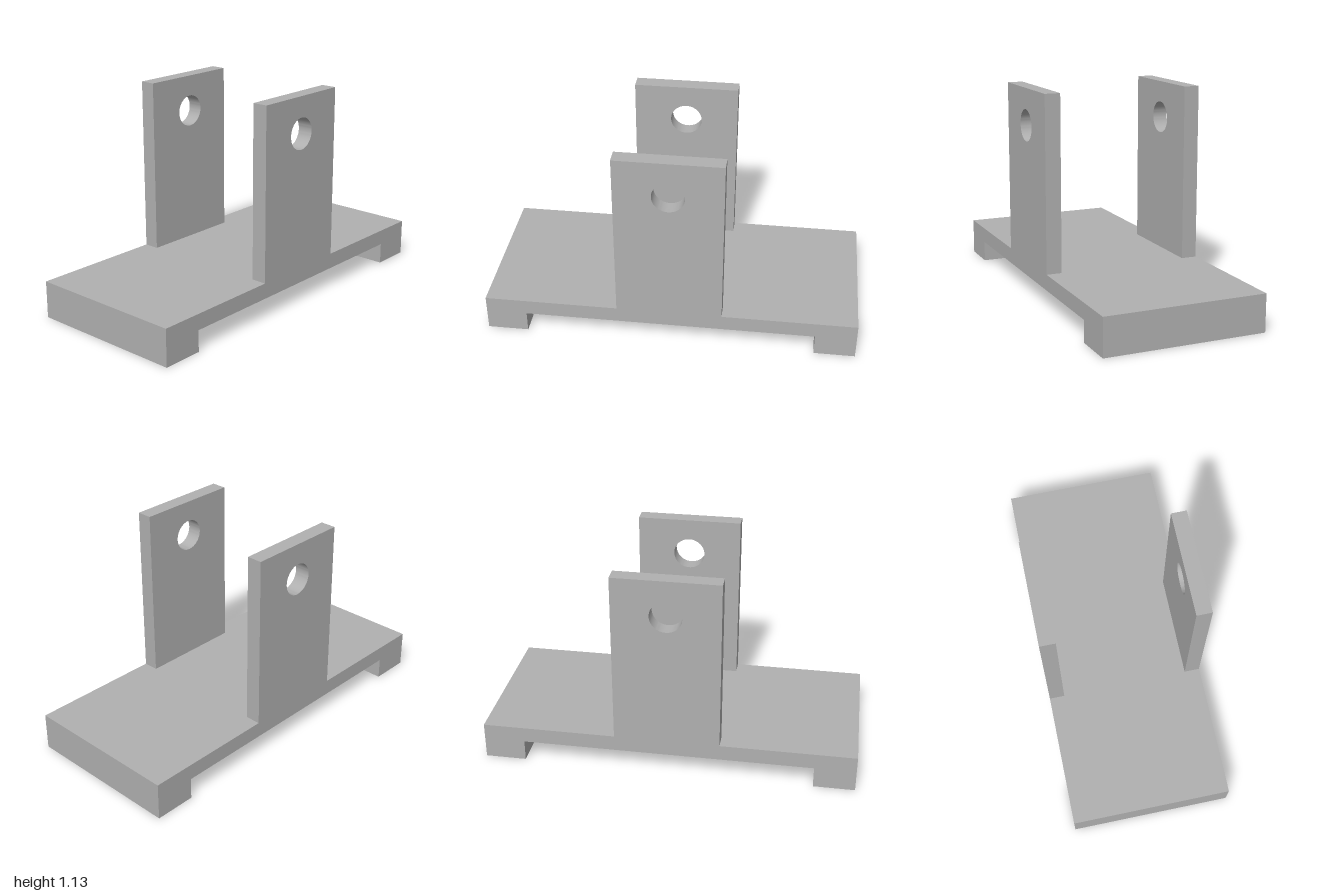
import * as THREE from 'three';
import { toCreasedNormals } from 'three/addons/utils/BufferGeometryUtils.js';

const HALF_W = 0.433;      // half width of the base
const TOP = 0.2;           // top of the base
const UNDER = 0.115;       // underside between the feet
const POCKET_TOP = 0.171;  // ceiling of the blind pocket

// Rectangular plate with one round hole, extruded along +z
function holedPlate(x0, y0, x1, y1, hx, hy, r, depth) {
  const shape = new THREE.Shape();
  shape.moveTo(x0, y0);
  shape.lineTo(x1, y0);
  shape.lineTo(x1, y1);
  shape.lineTo(x0, y1);
  shape.closePath();
  const hole = new THREE.Path();
  hole.absarc(hx, hy, r, 0, Math.PI * 2, true);
  shape.holes.push(hole);
  return new THREE.ExtrudeGeometry(shape, { depth, bevelEnabled: false, curveSegments: 32 });
}

export function createModel() {
  const model = new THREE.Group();
  model.name = 'clevisBracket';
  const grey = new THREE.MeshStandardMaterial({ color: 0xb0b0b0 });
  grey.name = 'grey';

  const add = (name, geometry, x = 0, y = 0, z = 0) => {
    const mesh = new THREE.Mesh(geometry, grey);
    mesh.name = name;
    mesh.position.set(x, y, z);
    model.add(mesh);
  };

  // Base: solid upper layer, and a lower layer holding the round blind pocket
  const upper = TOP - POCKET_TOP;
  add('basePlate', new THREE.BoxGeometry(HALF_W * 2, upper, 2), 0, POCKET_TOP + upper / 2, 0);
  const lower = holedPlate(-HALF_W, -1, HALF_W, 1, 0, 0.505, 0.118, POCKET_TOP - UNDER);
  lower.rotateX(-Math.PI / 2);
  add('pocketLayer', toCreasedNormals(lower, 0.5), 0, UNDER, 0);

  // Feet across both ends
  for (const s of [1, -1]) {
    add(s > 0 ? 'frontFoot' : 'backFoot',
      new THREE.BoxGeometry(HALF_W * 2, UNDER, 0.22), 0, UNDER / 2, s * 0.89);
  }

  // Upright lugs with a pin hole, flush with the sides of the base
  const thickness = 0.083;
  const lug = holedPlate(-0.282, TOP, 0.282, 1.132, 0, 0.935, 0.085, thickness);
  lug.rotateY(Math.PI / 2);
  const lugGeometry = toCreasedNormals(lug, 0.5);
  add('leftLug', lugGeometry, HALF_W - thickness);
  add('rightLug', lugGeometry, -HALF_W);

  return model;
}
